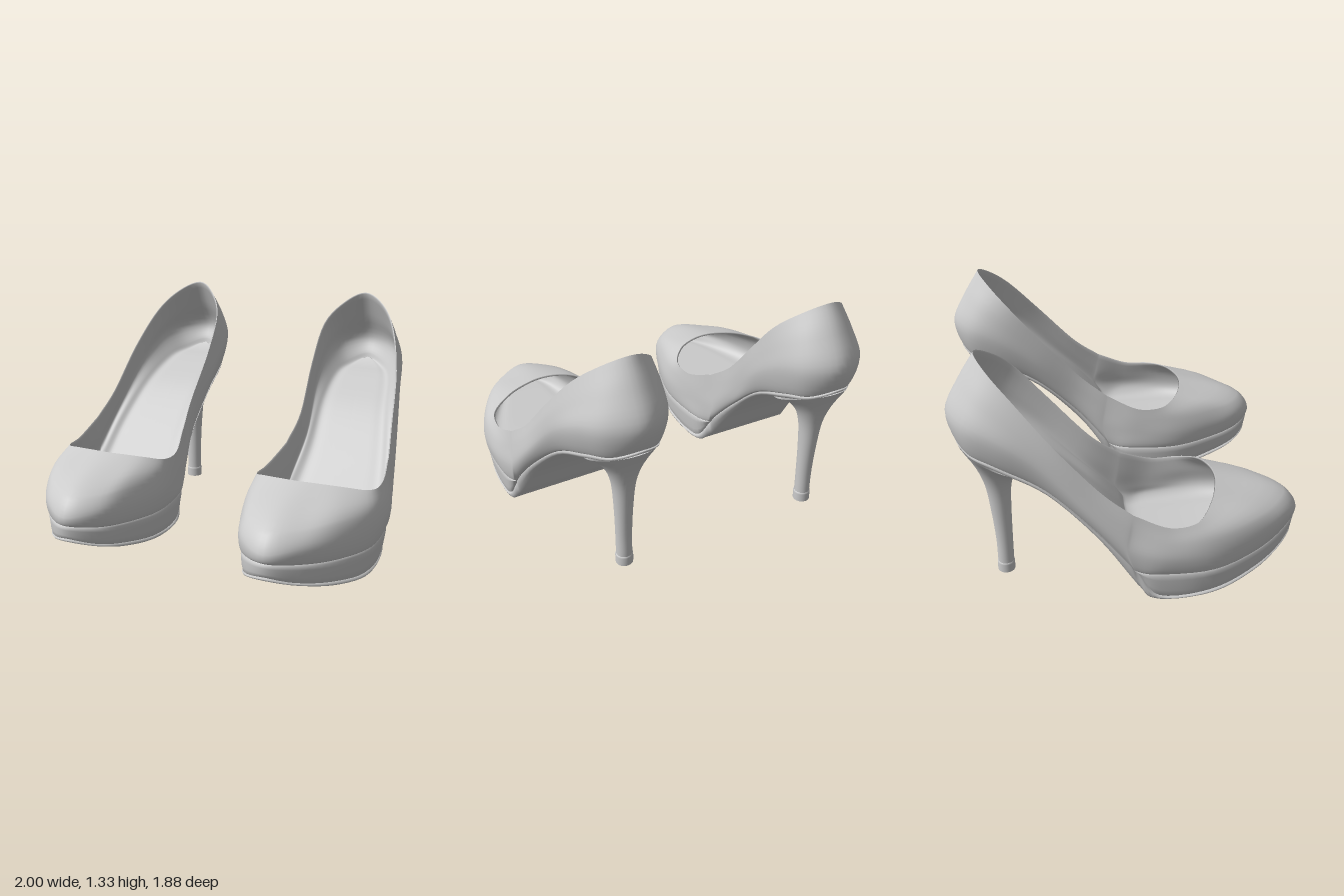
import * as THREE from 'three';

const SUB = 5; // samples between neighbouring stations

// Stations run from toe to heel: [z, y, inner x, outer x]
const SEAM = [
  [.93, .255, .57, .57], [.83, .235, .42, .72], [.65, .21, .335, .86], [.4, .19, .272, .968],
  [.12, .187, .29, .975], [-.005, .197, .33, .95], [-.05, .25, .343, .935], [-.22, .445, .375, .9],
  [-.46, .665, .37, .84], [-.7, .785, .385, .785], [-.84, .825, .445, .705], [-.905, .865, .57, .57]];
const BULGE = [
  [.935, .31, .57, .57], [.83, .33, .41, .735], [.65, .32, .325, .872], [.4, .3, .258, .98],
  [.15, .3, .28, .998], [-.03, .33, .325, .967], [-.085, .38, .335, .957], [-.25, .56, .36, .925],
  [-.48, .8, .337, .875], [-.7, .95, .345, .83], [-.86, 1, .41, .74], [-.942, 1.02, .565, .565]];
const SHOULDER = [
  [.86, .41, .57, .57], [.775, .41, .43, .715], [.62, .418, .345, .85], [.38, .405, .27, .965],
  [.155, .39, .28, .985], [-.015, .44, .325, .955], [-.068, .485, .335, .948], [-.225, .63, .355, .92],
  [-.45, .875, .338, .877], [-.66, 1.06, .35, .81], [-.8, 1.15, .425, .715], [-.865, 1.19, .565, .565]];
const RIM = [
  [.465, .53, .565, .565], [.45, .526, .46, .67], [.405, .51, .36, .8], [.31, .478, .285, .928],
  [.16, .475, .285, .955], [0, .543, .325, .94], [-.05, .573, .335, .933], [-.2, .695, .357, .905],
  [-.42, .942, .345, .865], [-.6, 1.155, .36, .79], [-.72, 1.275, .45, .69], [-.78, 1.33, .565, .565]];
// Sole edge lines [z, y]; widths come from the seam
const GROOVE = [[.915, .175], [.83, .135], [.65, .085], [.4, .04], [.115, .03], [.005, .175]];
const BOTTOM = [[.905, .15], [.82, .115], [.65, .06], [.4, .015], [.1, .004], [.01, .075],
  [-.035, .135], [-.2, .37], [-.445, .62], [-.68, .74], [-.82, .79], [-.89, .835]];

// Give an edge line the seam's widths, narrowed toward the middle by k
const withSeamWidth = (rows, k) => SEAM.map((s, i) => {
  if (!rows[i]) return s;
  const inset = (s[3] - s[2]) / 2 * k;
  return [...rows[i], s[2] + inset, s[3] - inset];
});

// Closed smooth loop: toe, outer side, heel, inner side
function loop(rows) {
  const outer = rows.map(([z, y, , xo]) => new THREE.Vector3(xo, y, z));
  const inner = rows.slice(1, -1).reverse().map(([z, y, xi]) => new THREE.Vector3(xi, y, z));
  const pts = [...outer, ...inner];
  return new THREE.CatmullRomCurve3(pts, true, 'catmullrom', .5).getPoints(pts.length * SUB).slice(0, -1);
}

// Move a loop outward in plan by d and up by dy
function offset(pts, d, dy = 0) {
  const n = pts.length;
  return pts.map((p, i) => {
    const t = pts[(i + 1) % n].clone().sub(pts[(i + n - 1) % n]);
    const len = Math.hypot(t.x, t.z) || 1;
    return new THREE.Vector3(p.x - t.z / len * d, p.y + dy, p.z + t.x / len * d);
  });
}

const mix = (a, b, f) => a.map((p, i) => p.clone().lerp(b[i], f));

// Draw a loop in toward its centre line (f = 0.5 closes it)
const narrow = (pts, f) => mix(pts, pts.map((_, i) => pts[(pts.length - i) % pts.length]), f);

// Resample a stack of loops smoothly from first to last
function smoothLevels(levels, n) {
  const cols = levels[0].map((_, i) =>
    new THREE.CatmullRomCurve3(levels.map((l) => l[i]), false, 'centripetal').getPoints(n));
  return Array.from({ length: n + 1 }, (_, k) => cols.map((c) => c[k]));
}

function makeMesh(name, pts, index, side, mat) {
  const g = new THREE.BufferGeometry();
  g.setAttribute('position', new THREE.Float32BufferAttribute(pts.flatMap((p) => [p.x * side, p.y, p.z]), 3));
  if (side < 0) index.reverse();
  g.setIndex(index);
  g.computeVertexNormals();
  const m = new THREE.Mesh(g, mat);
  m.name = name;
  return m;
}

// Skin between stacked loops
function skin(name, levels, side, mat) {
  const n = levels[0].length, index = [];
  for (let k = 0; k < levels.length - 1; k++)
    for (let i = 0; i < n; i++) {
      const a = k * n + i, b = k * n + (i + 1) % n;
      index.push(a, b, b + n, a, b + n, a + n);
    }
  return makeMesh(name, levels.flat(), index, side, mat);
}

// Close a loop from below with strips running from side to side
function fillBelow(name, pts, side, mat) {
  const n = pts.length, index = [];
  for (let i = 0; i < n / 2; i++) {
    const a = i, b = i + 1, c = (n - i - 1) % n, d = (n - i) % n;
    index.push(a, c, b, a, d, c);
  }
  return makeMesh(name, pts, index, side, mat);
}

// Elliptical heel ring, tilted from front to back
function ring([yFront, yBack, zFront, zBack, w]) {
  return Array.from({ length: 32 }, (_, i) => {
    const a = i / 32 * Math.PI * 2, f = (1 - Math.cos(a)) / 2;
    return new THREE.Vector3(.58 + Math.sin(a) * w, yFront + (yBack - yFront) * f, zFront + (zBack - zFront) * f);
  });
}

function makeShoe(side, mat) {
  const shoe = new THREE.Group();
  shoe.name = side > 0 ? 'leftShoe' : 'rightShoe';
  const seam = loop(SEAM), bulge = loop(BULGE), shoulder = loop(SHOULDER), rim = loop(RIM);
  const groove = loop(withSeamWidth(GROOVE, .06)), bottom = loop(withSeamWidth(BOTTOM, .07));

  // Sole: flat underside, rounded outsole edge, platform band
  const underside = offset(bottom, -.03);
  shoe.add(fillBelow('underside', underside, side, mat));
  shoe.add(skin('outsole', [underside, offset(bottom, -.01, .004), mix(bottom, groove, .4),
    offset(mix(bottom, groove, .85), .002), offset(groove, -.012)], side, mat));
  shoe.add(skin('platform', [offset(groove, -.012), offset(mix(groove, seam, .07), -.003),
    mix(groove, seam, .3), mix(groove, seam, .75), offset(mix(groove, seam, .93), -.003),
    offset(seam, -.012)], side, mat));

  // Upper: bulging skin from seam over the toe and heel to the opening
  shoe.add(skin('upper', smoothLevels([offset(seam, -.012), offset(seam, 0, .01), bulge, shoulder, rim], 20), side, mat));

  // Inside: lining wall curving into the insole
  const insole = offset(seam, -.03, .04);
  shoe.add(skin('liningAndInsole', [rim, ...smoothLevels([offset(rim, -.006, -.008), offset(shoulder, -.018, -.02),
    offset(bulge, -.022), offset(seam, -.022, .07), narrow(insole, .05), narrow(insole, .2),
    narrow(insole, .5)], 28)], side, mat));

  // Heel column flaring and arching forward into the shank, with a tip at the ground
  const heel = [[.06, .06, -.646, -.734, .044], [.2, .2, -.645, -.736, .045], [.4, .4, -.642, -.752, .052],
    [.55, .56, -.634, -.773, .066], [.62, .67, -.613, -.808, .092], [.652, .755, -.575, -.848, .128],
    [.657, .81, -.53, -.878, .16], [.628, .838, -.455, -.893, .182]].map(ring);
  shoe.add(skin('heel', smoothLevels(heel, 32), side, mat));
  const tip = [[0, 0, -.643, -.738, .048], [.05, .05, -.642, -.738, .049], [.058, .058, -.644, -.736, .047],
    [.062, .062, -.648, -.732, .042]].map(ring);
  shoe.add(skin('heelTip', tip, side, mat));
  shoe.add(fillBelow('heelTipBase', tip[0], side, mat));
  return shoe;
}

export function createModel() {
  const model = new THREE.Group();
  model.name = 'pairOfHighHeels';
  const mat = new THREE.MeshStandardMaterial({ color: 0xcccccc, side: THREE.DoubleSide });
  for (const side of [1, -1]) model.add(makeShoe(side, mat));
  return model;
}
